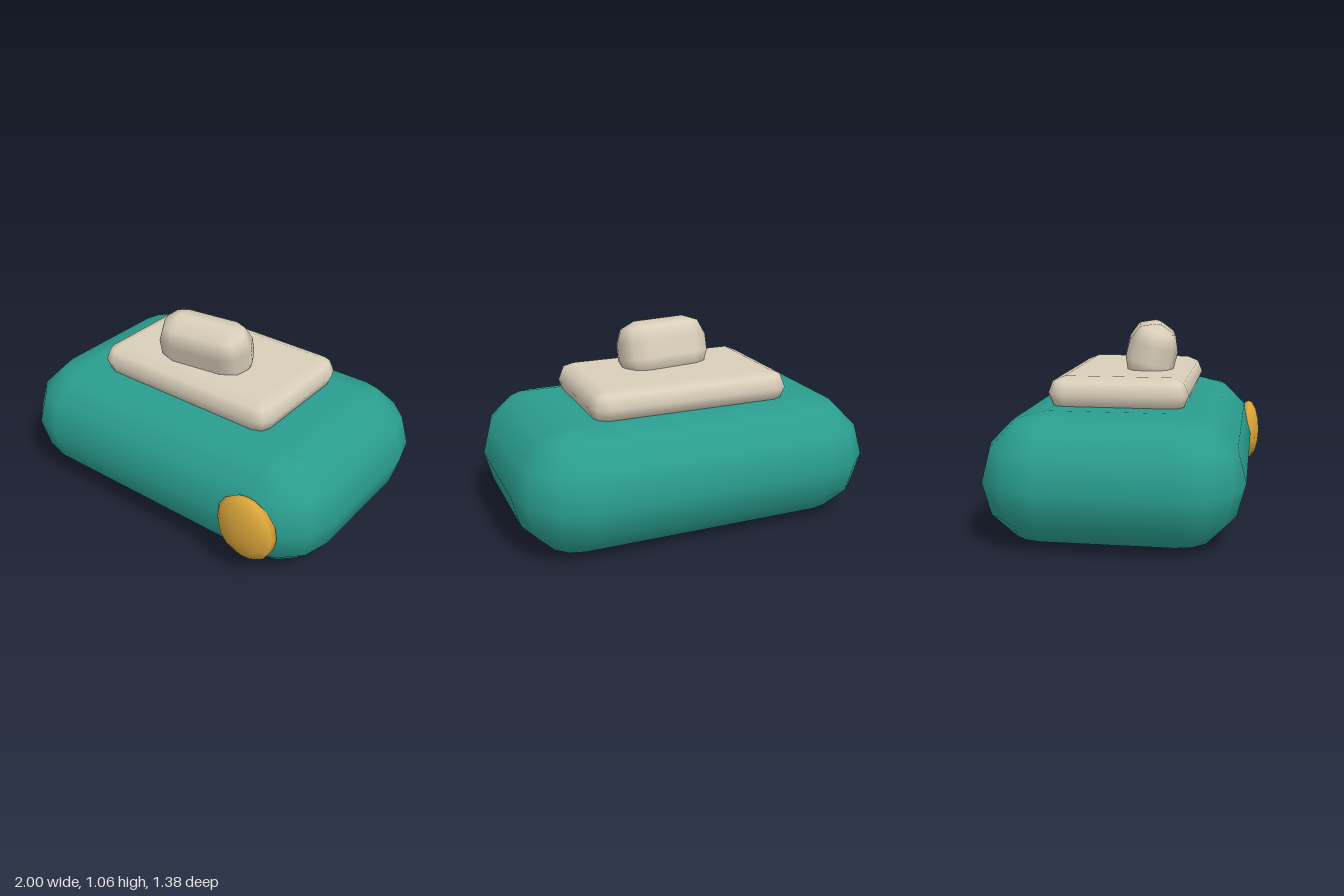
import * as THREE from 'three';

// Box rounded on every edge: a sphere whose octants are pushed apart to the corners
function roundedBox(w, h, d, r, n) {
  const cols = 4 * (n + 1), rows = 2 * n + 3;
  const geo = new THREE.SphereGeometry(1, cols, rows);
  const pos = geo.attributes.position, nor = geo.attributes.normal;
  const step = Math.PI / 2 / n;
  let i = 0;
  for (let row = 0; row <= rows; row++) {
    const cap = row === 0 || row === rows;
    const upper = row <= n + 1;
    const theta = cap ? (upper ? 0 : Math.PI) : (upper ? row - 1 : row - 2) * step;
    for (let c = 0; c <= cols; c++, i++) {
      const col = c % cols, quad = Math.floor(col / (n + 1));
      const phi = (quad * n + (col % (n + 1))) * step;
      const nx = -Math.cos(phi) * Math.sin(theta);
      const ny = Math.cos(theta);
      const nz = Math.sin(phi) * Math.sin(theta);
      const sx = quad === 1 || quad === 2 ? 1 : -1;
      const sz = quad < 2 ? 1 : -1;
      const spread = cap ? 0 : 1;
      pos.setXYZ(i,
        nx * r + spread * sx * (w / 2 - r),
        ny * r + (upper ? 1 : -1) * (h / 2 - r),
        nz * r + spread * sz * (d / 2 - r));
      nor.setXYZ(i, nx, ny, nz);
    }
  }
  return geo;
}

export function createModel() {
  const group = new THREE.Group();
  const material = (name, color) => {
    const m = new THREE.MeshStandardMaterial({ color });
    m.name = name;
    return m;
  };
  const teal = material('teal', 0x2a9d8f);
  const cream = material('cream', 0xd9cfba);
  const amber = material('amber', 0xdba63a);

  const add = (name, geo, mat, x, y, z) => {
    const mesh = new THREE.Mesh(geo, mat);
    mesh.name = name;
    mesh.position.set(x, y, z);
    group.add(mesh);
    return mesh;
  };

  // Pillow-like body
  add('body', roundedBox(2, 0.67, 1.33, 0.334, 3), teal, 0, 0.335, -0.025);

  // Plate on top
  add('topPlate', roundedBox(1.13, 0.18, 0.73, 0.09, 2), cream, 0, 0.73, -0.027);

  // Turned and tilted knob
  const knob = add('knob', roundedBox(0.535, 0.33, 0.27, 0.12, 2), cream, 0.003, 0.9, 0.085);
  knob.rotation.set(0.245, 0.14, 0, 'YXZ');

  // Flattened button on the front
  const button = add('frontButton', new THREE.SphereGeometry(1, 9, 8), amber, 0.67, 0.336, 0.622);
  button.scale.set(0.18, 0.183, 0.068);

  return group;
}
